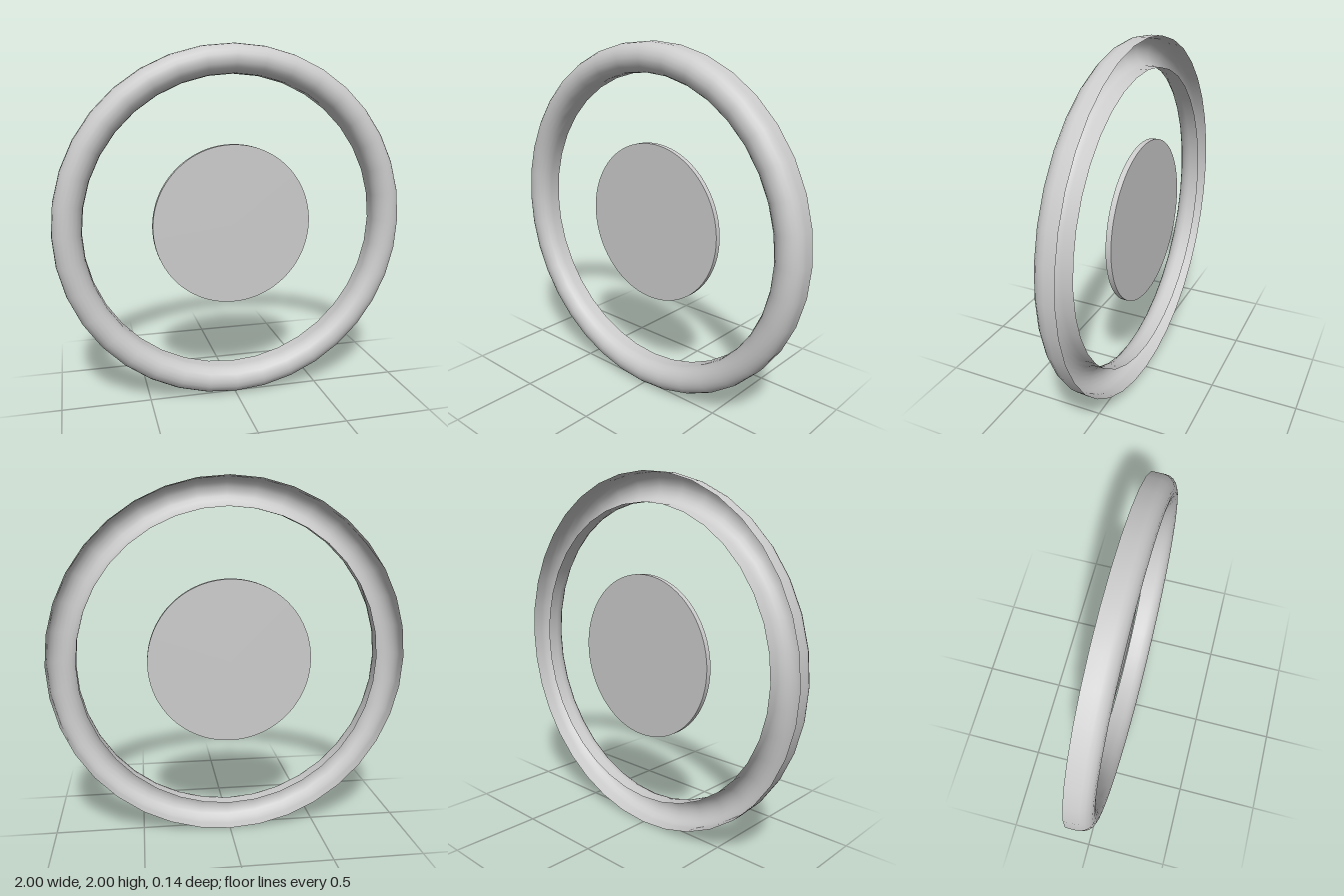
import * as THREE from 'three';

export function createModel() {
  const group = new THREE.Group();
  const backZ = -0.07;
  const centreY = 1;

  // Ring: hollow half-round channel, open at the back
  const inner = 0.84, outer = 1, r = (outer - inner) / 2, straight = 0.06;
  const profile = [new THREE.Vector2(outer, 0)];
  for (let i = 0; i <= 10; i++) {
    const a = (i / 10) * Math.PI;
    profile.push(new THREE.Vector2((inner + outer) / 2 + r * Math.cos(a), straight + r * Math.sin(a)));
  }
  profile.push(new THREE.Vector2(inner, 0));
  const ring = new THREE.Mesh(
    new THREE.LatheGeometry(profile, 36).rotateX(Math.PI / 2),
    new THREE.MeshStandardMaterial({ color: 0xcccccc, side: THREE.DoubleSide })
  );
  ring.name = 'outerRing';
  ring.position.set(0, centreY, backZ);
  group.add(ring);

  // Thin centre disc, level with the back of the ring
  const thickness = 0.03;
  const disc = new THREE.Mesh(
    new THREE.CylinderGeometry(0.457, 0.457, thickness, 96).rotateX(Math.PI / 2),
    new THREE.MeshStandardMaterial({ color: 0xcccccc })
  );
  disc.name = 'centreDisc';
  disc.position.set(0, centreY, backZ + thickness / 2);
  group.add(disc);

  return group;
}
